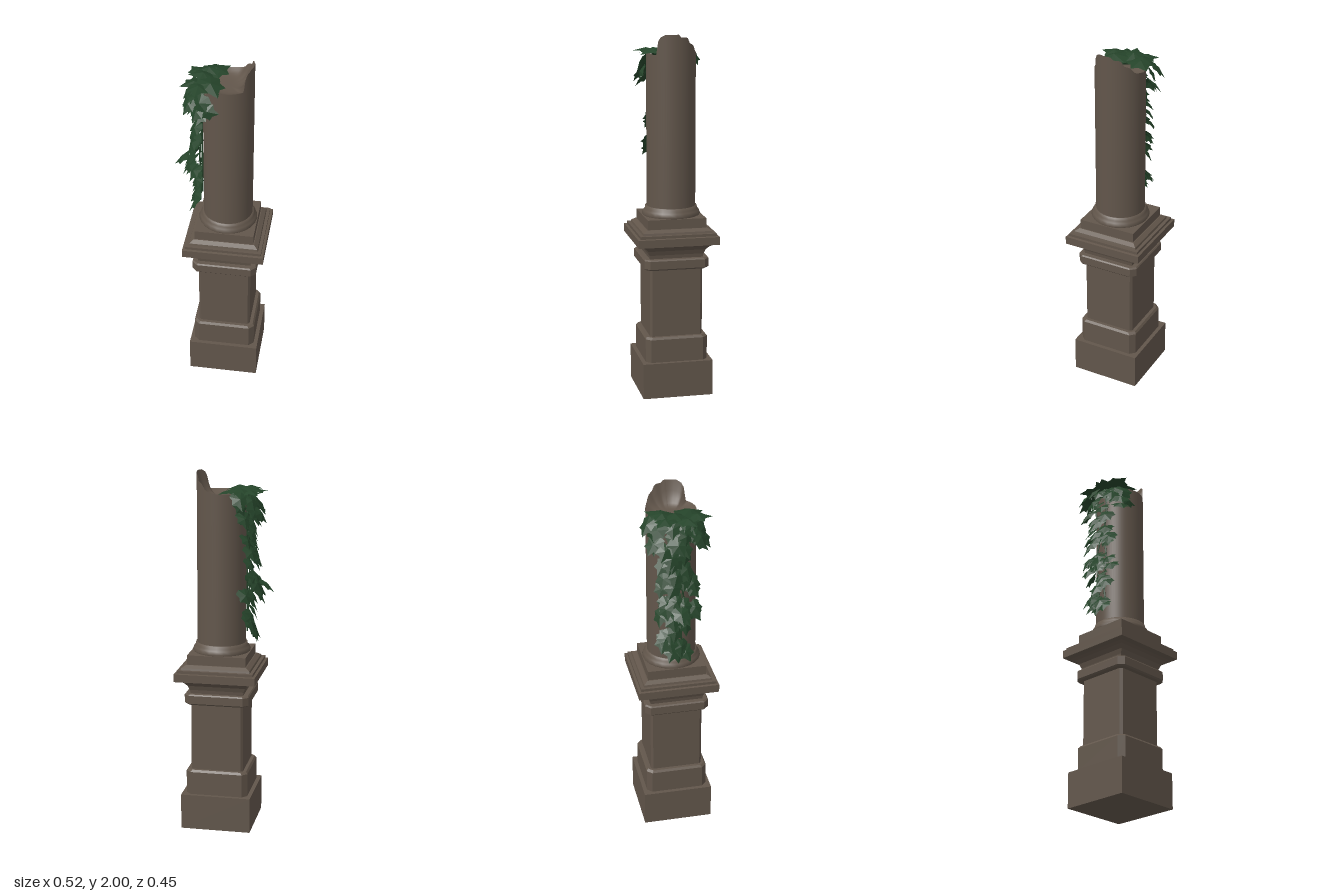
import * as THREE from 'three';

const CX = 0.037; // column axis
const R = 0.135; // shaft radius

const stone = new THREE.MeshStandardMaterial({ color: 0x62564b });
stone.name = 'weathered stone';
const green = new THREE.MeshStandardMaterial({ color: 0x25442a, side: THREE.DoubleSide });
green.name = 'ivy green';

// Square section swept through [halfWidth, y] rows, optionally with cut corners
function squareStack(name, rows, cut = 0) {
  const ring = ([h, y]) => {
    const pts = [];
    for (const [sx, sz] of [[1, 1], [1, -1], [-1, -1], [-1, 1]]) {
      const a = [sx * h, y, sz * (h - cut)], b = [sx * (h - cut), y, sz * h];
      if (!cut) pts.push(a);
      else pts.push(...(sx * sz > 0 ? [b, a] : [a, b]));
    }
    return pts;
  };
  const rings = rows.map(ring), n = rings[0].length, pos = [];
  for (let r = 0; r + 1 < rings.length; r++) {
    for (let i = 0; i < n; i++) {
      const j = (i + 1) % n, lo = rings[r], hi = rings[r + 1];
      pos.push(...lo[i], ...lo[j], ...hi[j], ...lo[i], ...hi[j], ...hi[i]);
    }
  }
  const bottom = rings[0], top = rings[rings.length - 1];
  for (let i = 1; i + 1 < n; i++) {
    pos.push(...top[0], ...top[i], ...top[i + 1]);
    pos.push(...bottom[0], ...bottom[i + 1], ...bottom[i]);
  }
  const g = new THREE.BufferGeometry();
  g.setAttribute('position', new THREE.Float32BufferAttribute(pos, 3));
  g.computeVertexNormals();
  const m = new THREE.Mesh(g, stone);
  m.name = name;
  return m;
}

// Height of the broken rim: [degrees from +x towards the front, y]
const RIM = [[-180, 1.85], [-150, 1.86], [-140, 1.89], [-90, 1.89], [-62, 1.905], [-50, 1.94],
  [-34, 1.955], [-29, 1.985], [-11, 1.985], [-6, 2], [24, 2], [41, 1.98], [47, 1.89],
  [134, 1.89], [140, 1.84], [180, 1.85]];
function rimHeight(x, z) {
  const d = THREE.MathUtils.radToDeg(Math.atan2(z, x));
  for (let i = 1; i < RIM.length; i++) {
    const [d0, y0] = RIM[i - 1], [d1, y1] = RIM[i];
    if (d <= d1) return y0 + (y1 - y0) * (d - d0) / (d1 - d0);
  }
  return 1.85;
}

function brokenShaft() {
  const group = new THREE.Group();
  group.name = 'shaft';
  // Wall with a ragged upper edge
  const wall = new THREE.CylinderGeometry(R, R, 1, 60, 1, true);
  const p = wall.attributes.position;
  for (let i = 0; i < p.count; i++) {
    p.setY(i, p.getY(i) > 0 ? rimHeight(p.getX(i), p.getZ(i)) : 1.04);
  }
  // Hollowed fracture surface
  const cap = new THREE.RingGeometry(0.001, R, 60, 8).rotateX(-Math.PI / 2);
  const q = cap.attributes.position;
  for (let i = 0; i < q.count; i++) {
    const x = q.getX(i), z = q.getZ(i), t = Math.hypot(x, z) / R;
    q.setY(i, 1.865 + (rimHeight(x, z) - 1.865) * t ** 4);
  }
  cap.computeVertexNormals();
  for (const [g, name] of [[wall, 'shaftWall'], [cap, 'brokenTop']]) {
    const m = new THREE.Mesh(g, stone);
    m.name = name;
    group.add(m);
  }
  return group;
}

// One lobed leaf, stem at the origin, tip at y = 1, folded along the midrib
function leafGeometry() {
  const half = [[0.2, -0.08], [0.46, 0.1], [0.36, 0.34], [0.44, 0.6], [0.2, 0.68]];
  const pos = [], rib = [0, 0.4, 0.08];
  for (const s of [1, -1]) {
    const pts = [[0, 0], ...half, [0, 1]].map(([x, y]) => [s * x, y, -0.3 * x * x - 0.12 * y * y]);
    for (let i = 0; i + 1 < pts.length; i++) {
      const [a, b] = s > 0 ? [pts[i], pts[i + 1]] : [pts[i + 1], pts[i]];
      pos.push(...rib, ...a, ...b);
    }
  }
  const g = new THREE.BufferGeometry();
  g.setAttribute('position', new THREE.Float32BufferAttribute(pos, 3));
  g.computeVertexNormals();
  return g;
}

function ivy() {
  const group = new THREE.Group();
  group.name = 'ivy';
  let seed = 11;
  const rnd = () => (seed = (seed * 16807) % 2147483647) / 2147483647;
  const spread = (v) => (rnd() * 2 - 1) * v;
  const geo = leafGeometry();
  const V = (...a) => new THREE.Vector3(...a);

  function leaf(base, dir, up, size) {
    const y = dir.clone().normalize();
    const x = y.clone().cross(up).normalize();
    const m = new THREE.Mesh(geo, green);
    m.name = 'leaf';
    m.quaternion.setFromRotationMatrix(new THREE.Matrix4().makeBasis(x, y, x.clone().cross(y)));
    m.position.copy(base);
    m.scale.setScalar(size);
    group.add(m);
  }

  // Leaves lying over the rim: base, direction, size
  for (const [b, d, s] of [
    [[-0.08, 1.9, -0.04], [0.1, 0.01, -0.1], 0.15],
    [[-0.08, 1.91, 0.03], [0.09, -0.01, 0.14], 0.16],
    [[-0.10, 1.9, 0.06], [-0.01, 0.01, 0.12], 0.13],
    [[-0.12, 1.89, 0], [0.12, 0.015, 0.02], 0.12],
    [[-0.10, 1.9, -0.03], [-0.07, 0, -0.08], 0.12],
    [[-0.05, 1.9, -0.02], [-0.12, 0.03, 0.03], 0.13],
    [[-0.09, 1.89, 0.03], [-0.1, 0.01, 0.05], 0.13],
    [[-0.03, 1.91, -0.08], [-0.1, 0, 0.02], 0.12],
  ]) leaf(V(...b), V(...d), V(0, 1, 0), s);

  // Leaves hanging on the front shoulder
  leaf(V(-0.09, 1.79, 0.14), V(0.1, -0.01, 0.02), V(-0.1, 0.4, 1), 0.1);
  leaf(V(-0.07, 1.87, 0.13), V(-0.05, -0.1, 0.03), V(-0.6, 0.4, 1), 0.12);

  // Hanging clusters: top y, bottom y, leaf count, angular spread, stand-off
  for (const [y1, y0, count, angle, off] of [
    [1.9, 1.76, 20, 0.85, 0.05],
    [1.74, 1.58, 9, 0.4, 0.015],
    [1.62, 1.52, 8, 0.5, 0.035],
    [1.47, 1.36, 14, 0.55, 0.05],
    [1.36, 1.24, 5, 0.35, 0.01],
    [1.24, 1.14, 8, 0.4, 0.025],
  ]) {
    for (let i = 0; i < count; i++) {
      const a = spread(angle), r = R + 0.012 + rnd() * off;
      const out = V(-Math.cos(a), 0, Math.sin(a));
      const base = V(CX + out.x * r, y1 + (y0 - y1) * (i + 0.5) / count, out.z * r);
      const dir = out.clone().multiplyScalar(0.65).add(V(0, -0.8, spread(0.5)));
      leaf(base, dir, out.clone().add(V(0, 0.6, spread(0.3))), 0.085 + rnd() * 0.03);
    }
  }
  leaf(V(-0.18, 1.41, 0.0), V(-0.083, -0.06, 0.008), V(-0.5, 1, 0), 0.103);
  leaf(V(-0.13, 1.16, 0.0), V(-0.04, -0.09, 0), V(-1, 0.5, 0), 0.105);

  // Trailing stems
  for (const z of [-0.03, 0.025]) {
    const pts = [1.9, 1.75, 1.6, 1.42, 1.28, 1.13].map((y, i) =>
      V(-0.108 - 0.006 * (i % 2), y, z * (i % 2 ? 1.5 : 0.5)));
    const m = new THREE.Mesh(
      new THREE.TubeGeometry(new THREE.CatmullRomCurve3(pts), 20, 0.005, 5), green);
    m.name = 'stem';
    group.add(m);
  }
  return group;
}

export function createModel() {
  const model = new THREE.Group();
  model.name = 'ruinedColumn';
  const column = new THREE.Group();
  column.name = 'column';
  column.position.x = CX;
  model.add(column);

  // Square pedestal, bottom to top
  column.add(
    squareStack('plinth', [[0.196, 0], [0.196, 0.2]]),
    squareStack('pedestalBase', [[0.174, 0.2], [0.174, 0.33], [0.165, 0.342]], 0.028),
    squareStack('pedestalDie', [[0.147, 0.34], [0.147, 0.73]], 0.012),
    squareStack('neckMoulding', [[0.172, 0.725], [0.18, 0.733], [0.18, 0.778], [0.174, 0.785]], 0.028),
    squareStack('cove', [[0.147, 0.78], [0.151, 0.805], [0.161, 0.83], [0.178, 0.85], [0.2, 0.863]]),
    squareStack('cornice', [[0.2, 0.86], [0.225, 0.866], [0.225, 0.91], [0.211, 0.912], [0.211, 0.927]]),
    squareStack('corniceSlope', [[0.193, 0.927], [0.19, 0.938], [0.168, 0.952]]),
    squareStack('columnPlinth', [[0.163, 0.945], [0.163, 1.005]]),
  );

  // Round foot of the shaft
  const foot = new THREE.Mesh(new THREE.LatheGeometry(
    [[0.155, 1], [0.162, 1.012], [0.155, 1.03], [0.145, 1.04], [0.143, 1.056], [0.13, 1.056]]
      .map(([x, y]) => new THREE.Vector2(x, y)), 24), stone);
  foot.name = 'shaftFoot';
  column.add(foot, brokenShaft());

  model.add(ivy());
  return model;
}
